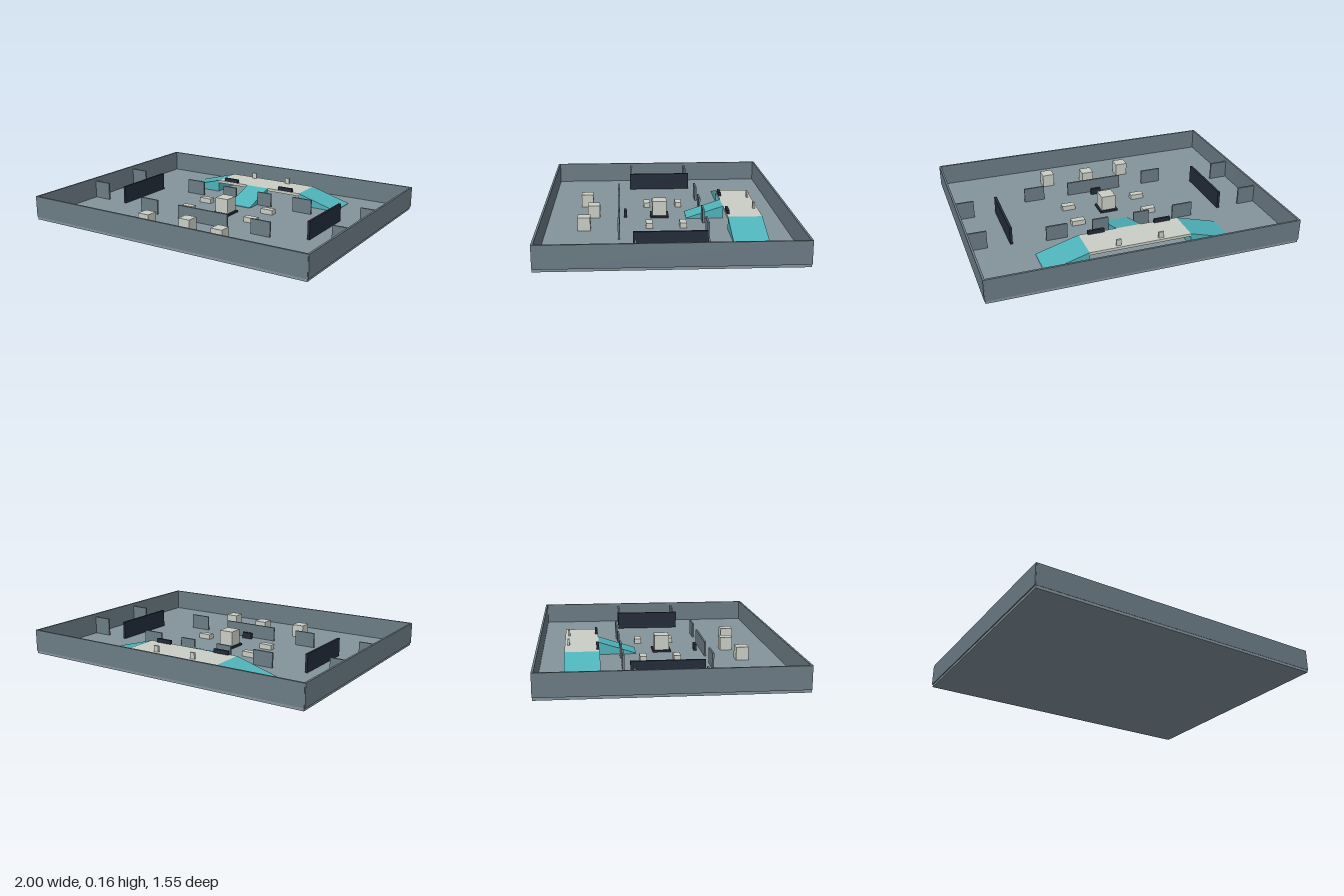
import * as THREE from 'three';

const mat = (color) => new THREE.MeshStandardMaterial({ color, flatShading: true });

export function createModel() {
  const model = new THREE.Group();
  const floorMat = mat(0x84939c), wallMat = mat(0x6c7c86), teal = mat(0x4fb4bb);
  const pale = mat(0xcbcec6), dark = mat(0x232c3a);
  const F = 0.017; // floor surface
  const D = 0.1;   // deck surface

  // Box given by its centre in x and z, and its bottom and top heights
  function box(name, m, x, z, w, d, y0, y1) {
    const mesh = new THREE.Mesh(new THREE.BoxGeometry(w, y1 - y0, d), m);
    mesh.position.set(x, (y0 + y1) / 2, z);
    mesh.name = name;
    model.add(mesh);
    return mesh;
  }

  // Solid wedge that falls from the deck along local +x
  function ramp(name, x, z, length, width, turn) {
    const s = new THREE.Shape();
    s.moveTo(0, F);
    s.lineTo(length, F);
    s.lineTo(length, F + 0.004);
    s.lineTo(0, D);
    const g = new THREE.ExtrudeGeometry(s, { depth: width, bevelEnabled: false });
    g.translate(0, 0, -width / 2);
    const mesh = new THREE.Mesh(g, teal);
    mesh.position.set(x, 0, z);
    mesh.rotation.y = turn;
    mesh.name = name;
    model.add(mesh);
  }

  // Arena floor and outer walls
  box('floor', floorMat, 0, 0, 1.986, 1.546, 0, F);
  for (const s of [-1, 1]) {
    box('sideWall', wallMat, s * 0.9935, 0, 0.013, 1.546, F, 0.157);
    box('endWall', wallMat, 0, s * 0.7685, 1.99, 0.013, F, 0.157);
  }

  // Raised deck with three ramps
  box('deck', pale, 0, -0.5, 0.66, 0.22, D - 0.018, D);
  ramp('leftRamp', 0.33, -0.5, 0.277, 0.22, 0);
  ramp('rightRamp', -0.33, -0.5, 0.277, 0.22, Math.PI);
  ramp('frontRamp', 0, -0.39, 0.245, 0.168, -Math.PI / 2);

  for (const s of [-1, 1]) {
    // Deck guards and posts
    box('deckGuard', dark, s * 0.221, -0.4, 0.108, 0.016, D, 0.125);
    box('deckPost', pale, s * 0.138, -0.585, 0.033, 0.013, D, 0.14);

    // Cover walls
    box('backInnerCover', wallMat, s * 0.14, -0.25, 0.106, 0.012, F, 0.11);
    for (const z of [-0.25, 0.3])
      box('outerCover', wallMat, s * 0.43, z, 0.138, 0.012, F, 0.115);
    for (const z of [-0.21, 0.205])
      box('sideCover', wallMat, s * 0.927, z, 0.122, 0.012, F, 0.135);

    // Long dark screens
    box('darkScreen', dark, s * 0.716, -0.003, 0.016, 0.44, F, 0.135);

    // Low blocks and front crates
    for (const z of [-0.112, 0.106])
      box('lowBlock', pale, s * 0.247, z, 0.088, 0.044, F, 0.05);
    box('frontCrate', pale, s * 0.277, 0.52, 0.08, 0.08, F, 0.102);
  }
  box('frontCover', wallMat, 0, 0.3, 0.382, 0.012, F, 0.11);
  box('middleCrate', pale, 0, 0.466, 0.08, 0.08, F, 0.102);
  box('darkBar', dark, 0, 0.257, 0.068, 0.018, F, 0.058);

  // Centre pedestal
  box('pedestalBase', dark, 0, 0.03, 0.122, 0.122, F, 0.03);
  box('pedestal', pale, 0, 0.03, 0.096, 0.096, 0.03, 0.128);

  return model;
}
